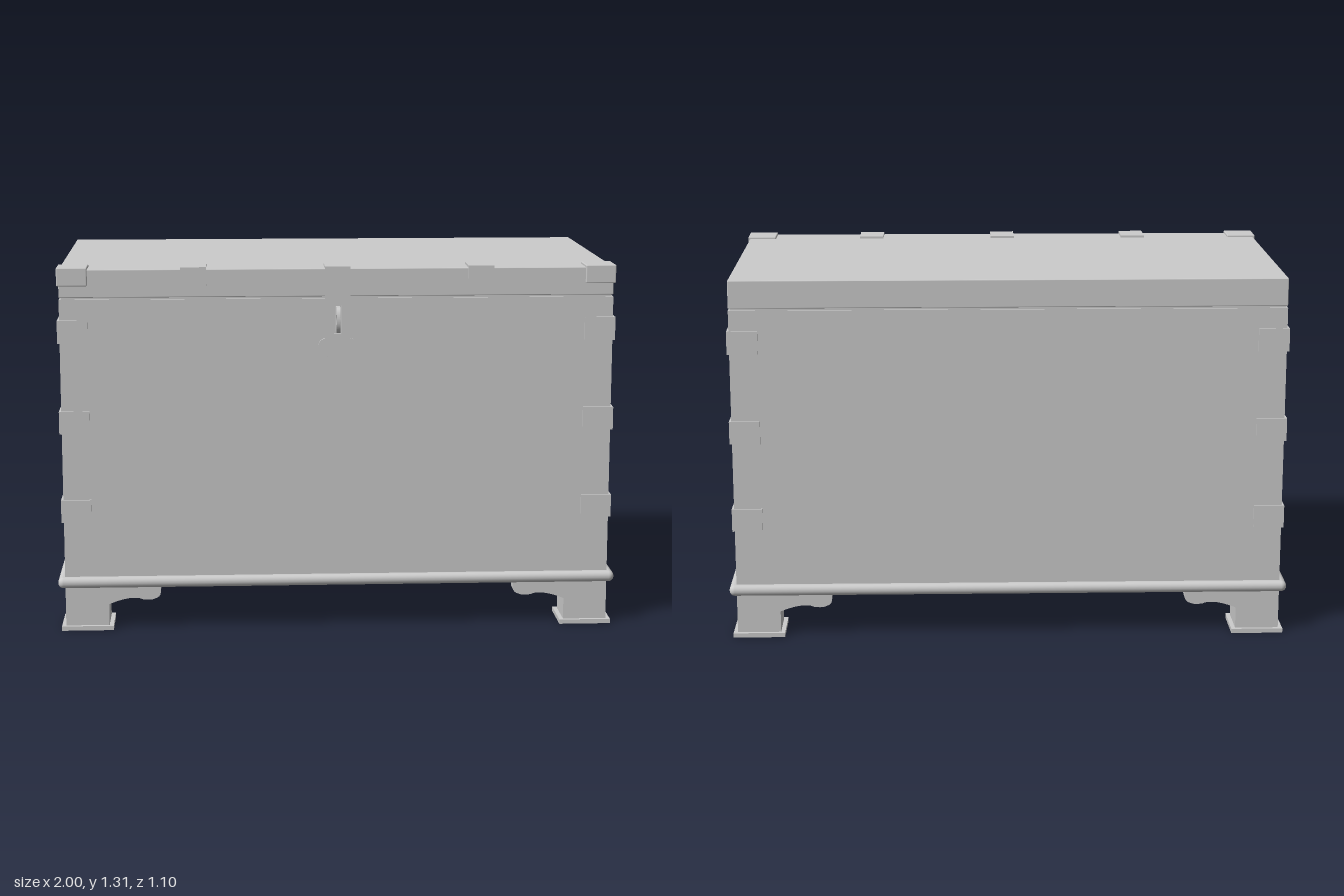
import * as THREE from 'three';
import { RoundedBoxGeometry } from 'three/addons/geometries/RoundedBoxGeometry.js';

const HX = 0.975, HZ = 0.505, CZ = -0.02; // chest half sizes and centre in z

export function createModel() {
  const model = new THREE.Group();
  const mat = new THREE.MeshStandardMaterial({ color: 0xcccccc });

  const add = (name, geo, x = 0, y = 0, z = 0) => {
    const mesh = new THREE.Mesh(geo, mat);
    mesh.name = name;
    mesh.position.set(x, y, z);
    model.add(mesh);
    return mesh;
  };
  const box = (name, x0, x1, y0, y1, z0, z1, r = 0) => {
    const s = [Math.abs(x1 - x0), y1 - y0, Math.abs(z1 - z0)];
    const geo = r ? new RoundedBoxGeometry(...s, 3, r) : new THREE.BoxGeometry(...s);
    return add(name, geo, (x0 + x1) / 2, (y0 + y1) / 2, (z0 + z1) / 2);
  };
  const shapeOf = (pts) => new THREE.Shape(pts.map(([x, y]) => new THREE.Vector2(x, y)));
  const extrude = (shape, depth) =>
    new THREE.ExtrudeGeometry(shape, { depth, bevelEnabled: false, curveSegments: 16 });
  const rect = (w, h) => [[-w / 2, -h / 2], [w / 2, -h / 2], [w / 2, h / 2], [-w / 2, h / 2]];

  // Open square tube standing on height y
  const tube = (name, w, d, wall, h, x, y, z) => {
    const s = shapeOf(rect(w, d));
    s.holes.push(shapeOf(rect(w - 2 * wall, d - 2 * wall)));
    add(name, extrude(s, h).rotateX(-Math.PI / 2), x, y, z);
  };

  // Chest, shadow gap, lid and base moulding
  box('body', -HX, HX, 0.165, 1.197, CZ - HZ, CZ + HZ);
  box('lidGap', -HX + 0.006, HX - 0.006, 1.19, 1.21, CZ - HZ + 0.006, CZ + HZ - 0.006);
  box('lid', -HX, HX, 1.204, 1.302, CZ - HZ, CZ + HZ, 0.003);
  box('baseMoulding', -1, 1, 0.16, 0.2, CZ - 0.528, CZ + 0.528, 0.0195);

  // Scalloped bracket beside a foot, growing from u0 by len in direction s
  const bracketShape = (s, u0, len) => {
    const p = (t, y) => [s * (u0 - t * len), y];
    const sh = new THREE.Shape();
    sh.moveTo(...p(0, 0.165));
    sh.lineTo(...p(0, 0.097));
    sh.quadraticCurveTo(...p(0.2, 0.112), ...p(0.35, 0.117));
    sh.quadraticCurveTo(...p(0.55, 0.123), ...p(0.64, 0.114));
    sh.quadraticCurveTo(...p(0.82, 0.108), ...p(0.9, 0.117));
    sh.quadraticCurveTo(...p(1, 0.122), ...p(1, 0.14));
    sh.lineTo(...p(1, 0.165));
    return sh;
  };

  // Hollow bracket feet at the four corners
  const FW = 0.155, FD = 0.145, T = 0.055;
  for (const sx of [-1, 1]) for (const sz of [-1, 1]) {
    const fx = sx * (HX - FW / 2), fz = CZ + sz * (HZ - FD / 2);
    tube('foot', FW, FD, 0.022, 0.15, fx, 0.016, fz);
    tube('footPlate', FW + 0.03, FD + 0.026, 0.032, 0.016, fx, 0.004, fz);
    add('footBracketX', extrude(bracketShape(sx, HX - FW, 0.185), T),
      0, 0, CZ + (sz > 0 ? HZ - T : -HZ));
    add('footBracketZ', extrude(bracketShape(sz, HZ - FD, 0.15), T).rotateY(-Math.PI / 2),
      sx > 0 ? HX : -HX + T, 0, CZ);

    // Corner straps wrapping each vertical edge
    const o = 0.008, L = 0.108;
    for (const y of [0.4, 0.72, 1.043]) {
      const X = sx * (HX + o), Z = sz * (HZ + o);
      const pts = [[X, Z], [X - sx * L, Z], [X - sx * L, Z - sz * 0.012],
        [X - sx * 0.012, Z - sz * 0.012], [X - sx * 0.012, Z - sz * L], [X, Z - sz * L]];
      const geo = extrude(shapeOf(pts), 0.082).rotateX(Math.PI / 2);
      add('cornerStrap', geo, 0, y + 0.082, CZ);
    }
  }

  // Caps on the front corners of the lid
  const zf = CZ + HZ;
  for (const s of [-1, 1])
    box('lidCornerCap', s * 0.875, s * 0.982, 1.245, 1.31, zf - 0.107, zf + 0.008, 0.004);

  // Clips bent over the front edge of the lid, and the hasp's top leaf
  for (const x of [-0.505, 0, 0.505]) {
    box('lidClipTop', x - 0.045, x + 0.045, 1.298, 1.31, zf - 0.107, zf + 0.008);
    box('lidClipFront', x - 0.045, x + 0.045, 1.245, 1.31, zf - 0.004, zf + 0.008);
  }

  // Hasp with a scalloped tip and a slot
  const hasp = new THREE.Shape();
  hasp.moveTo(-0.045, 1.25);
  hasp.lineTo(-0.045, 1.055);
  hasp.quadraticCurveTo(-0.07, 1.052, -0.067, 1.025);
  hasp.quadraticCurveTo(-0.06, 1.005, -0.038, 1.008);
  hasp.quadraticCurveTo(-0.04, 0.975, -0.018, 0.977);
  hasp.lineTo(0, 0.955);
  hasp.lineTo(0.018, 0.977);
  hasp.quadraticCurveTo(0.04, 0.975, 0.038, 1.008);
  hasp.quadraticCurveTo(0.06, 1.005, 0.067, 1.025);
  hasp.quadraticCurveTo(0.07, 1.052, 0.045, 1.055);
  hasp.lineTo(0.045, 1.25);
  const slot = (w, h) => shapeOf(rect(w, h).map(([x, y]) => [x, y + 1.123]));
  hasp.holes.push(slot(0.03, 0.105));
  add('hasp', extrude(hasp, 0.008), 0, 0, zf);
  const frame = slot(0.048, 0.124);
  frame.holes.push(slot(0.024, 0.1));
  add('haspSlotFrame', extrude(frame, 0.012), 0, 0, zf);

  // Staple eye passing through the hasp
  const eye = new THREE.Shape();
  eye.moveTo(zf - 0.01, 1.08);
  eye.lineTo(0.525, 1.08);
  eye.absellipse(0.525, 1.125, 0.028, 0.045, -Math.PI / 2, Math.PI / 2, false);
  eye.lineTo(zf - 0.01, 1.17);
  const hole = new THREE.Path();
  hole.absarc(0.523, 1.125, 0.018, 0, Math.PI * 2, true);
  eye.holes.push(hole);
  add('stapleEye', extrude(eye, 0.014).rotateY(-Math.PI / 2), 0.007, 0, 0);

  return model;
}
